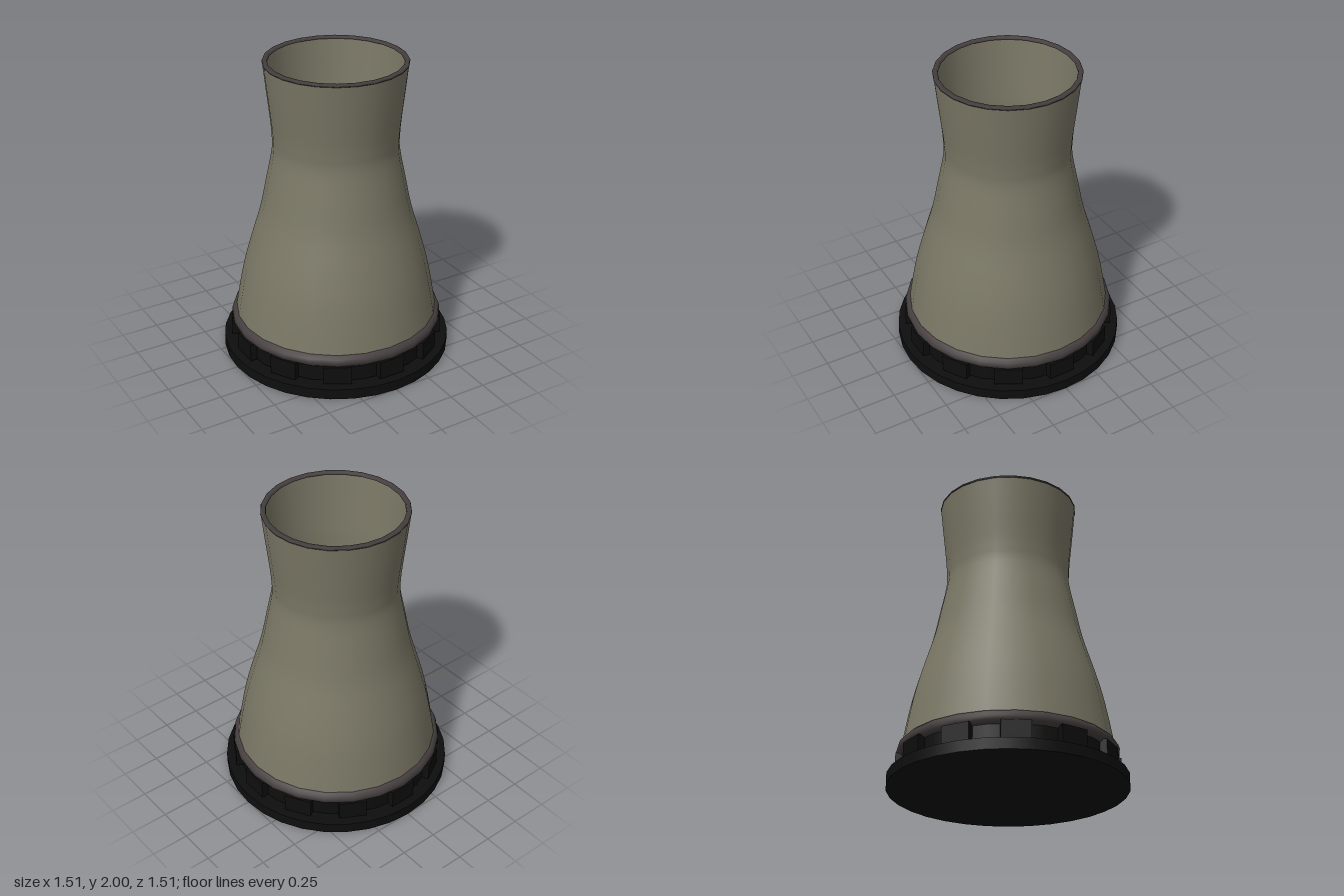
import * as THREE from 'three';

const SIDES = 24;

export function createModel() {
  const model = new THREE.Group();
  const concrete = new THREE.MeshStandardMaterial({ name: 'olive concrete', color: 0x7a7765, side: THREE.DoubleSide });
  const trim = new THREE.MeshStandardMaterial({ name: 'dark brown trim', color: 0x453e3e });
  const black = new THREE.MeshStandardMaterial({ name: 'black base', color: 0x0e0e0e });

  const add = (name, geometry, material, y = 0) => {
    const mesh = new THREE.Mesh(geometry, material);
    mesh.name = name;
    mesh.position.y = y;
    model.add(mesh);
    return mesh;
  };
  const points = (list) => list.map(([r, y]) => new THREE.Vector2(r, y));

  // Foundation slab, with a narrow gap below the intake band
  add('foundationSlab', new THREE.CylinderGeometry(0.755, 0.755, 0.07, 32), black, 0.035);

  // Recessed intake band and its twelve protruding blocks
  add('intakeBand', new THREE.CylinderGeometry(0.665, 0.665, 0.122, SIDES), black, 0.139);
  const blocks = new THREE.Group();
  blocks.name = 'intakeBlocks';
  for (let i = 0; i < 12; i++) {
    const a = (i / 12) * Math.PI * 2;
    const block = new THREE.Mesh(new THREE.BoxGeometry(0.18, 0.122, 0.08), black);
    block.name = 'intakeBlock';
    block.position.set(Math.sin(a) * 0.659, 0.139, Math.cos(a) * 0.659);
    block.rotation.y = a;
    blocks.add(block);
  }
  model.add(blocks);

  // Rounded collar around the foot of the shell
  const collar = new THREE.TorusGeometry(0.655, 0.045, 12, SIDES);
  collar.rotateX(Math.PI / 2);
  add('collar', collar, trim, 0.228);

  // Floor inside the tower
  add('innerFloor', new THREE.CylinderGeometry(0.65, 0.65, 0.02, SIDES), trim, 0.215);

  // Open waisted shell
  const profile = new THREE.SplineCurve(points([
    [0.675, 0.22], [0.645, 0.4], [0.605, 0.6], [0.55, 0.8], [0.49, 1.0],
    [0.448, 1.2], [0.408, 1.4], [0.407, 1.5], [0.414, 1.6], [0.436, 1.8], [0.456, 1.99],
  ]));
  add('towerShell', new THREE.LatheGeometry(profile.getPoints(30), SIDES), concrete);

  // Thin lip around the mouth
  const lip = new THREE.LatheGeometry(points([
    [0.425, 1.985], [0.457, 1.985], [0.459, 1.992], [0.455, 2.0], [0.428, 2.0], [0.425, 1.985],
  ]), SIDES);
  add('mouthLip', lip, trim);

  return model;
}
